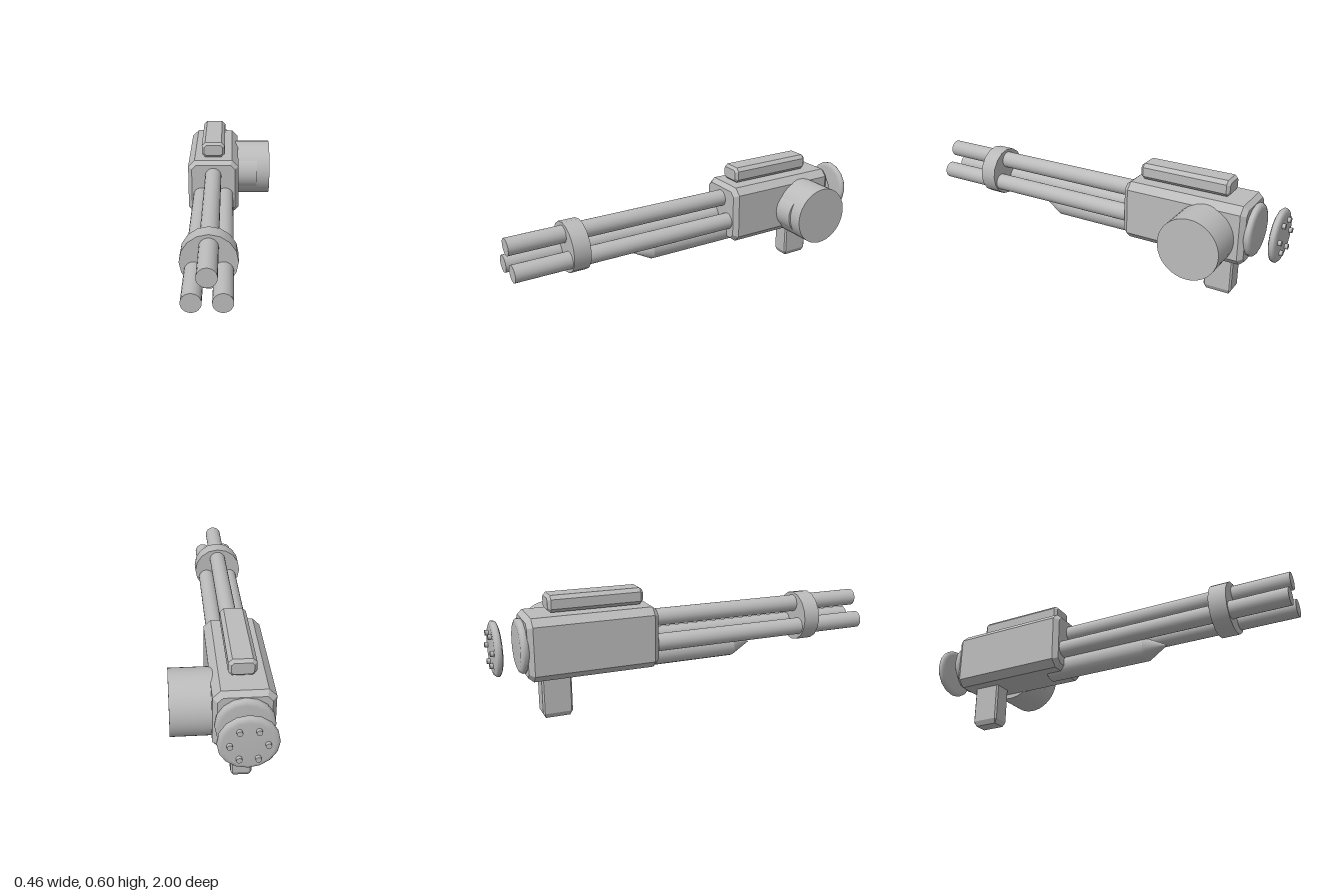
import * as THREE from 'three';

const AXIS_X = -0.0925, AXIS_Y = 0.365;

export function createModel() {
  const model = new THREE.Group();
  model.name = 'rotaryGun';
  const metal = new THREE.MeshStandardMaterial({ color: 0xbbbbbb });
  metal.name = 'plain grey metal';

  const add = (name, geometry, x, y, z) => {
    const mesh = new THREE.Mesh(geometry, metal);
    mesh.name = name;
    mesh.position.set(x, y, z);
    model.add(mesh);
    return mesh;
  };

  // Cylinder lying along z
  const rod = (r, length, sides) =>
    new THREE.CylinderGeometry(r, r, length, sides).rotateX(Math.PI / 2);

  // Box with chamfered long edges (c) and ends inset by b over a length t, centred
  const chamferBox = (w, h, d, c, b, t) => {
    const x = w / 2, y = h / 2;
    const shape = new THREE.Shape([
      [x - c, -y], [x, -y + c], [x, y - c], [x - c, y],
      [-x + c, y], [-x, y - c], [-x, -y + c], [-x + c, -y],
    ].map(([px, py]) => new THREE.Vector2(px, py)));
    const geo = new THREE.ExtrudeGeometry(shape, {
      depth: d - 2 * t, bevelEnabled: true, bevelSegments: 1,
      bevelSize: b, bevelOffset: -b, bevelThickness: t,
    });
    return geo.translate(0, 0, -d / 2 + t);
  };

  // Receiver, top block and grip
  add('body', chamferBox(0.274, 0.304, 0.64, 0.035, 0.02, 0.025), -0.092, 0.364, -0.517);
  add('topBlock', chamferBox(0.125, 0.082, 0.47, 0.018, 0.013, 0.015), -0.0925, 0.562, -0.487);
  add('grip', chamferBox(0.097, 0.146, 0.26, 0.008, 0.013, 0.024).rotateX(Math.PI / 2),
    -0.0915, 0.13, -0.692);

  // Three barrels held by a clamp ring
  for (let i = 0; i < 3; i++) {
    const a = Math.PI / 2 + (i * Math.PI * 2) / 3;
    add('barrel', rod(0.044, 1.24, 24),
      AXIS_X + 0.075 * Math.cos(a), 0.36 + 0.075 * Math.sin(a), 0.38);
  }
  add('barrelClamp', rod(0.13, 0.088, 16), AXIS_X, AXIS_Y, 0.672);

  // Pointed rod beneath the barrels
  add('lowerRod', rod(0.06, 0.555, 20), AXIS_X, 0.249, -0.0275);
  add('lowerRodTip', new THREE.ConeGeometry(0.06, 0.112, 20).rotateX(Math.PI / 2),
    AXIS_X, 0.249, 0.306);

  // Side drum with a raised feed bulge on its front
  add('drum', new THREE.CylinderGeometry(0.154, 0.154, 0.223, 40).rotateZ(Math.PI / 2),
    0.1165, 0.341, -0.637);
  add('drumFeed', new THREE.CylinderGeometry(0.11, 0.11, 0.15, 32).rotateZ(Math.PI / 2),
    0.08, 0.341, -0.582);

  // Rounded rear flange and the separate end disc
  const disc = (r, d) => new THREE.LatheGeometry([
    [0, -d / 2], [r - 0.022, -d / 2], [r - 0.006, -d / 2 + 0.006], [r, -d / 6],
    [r, d / 6], [r - 0.006, d / 2 - 0.006], [r - 0.022, d / 2], [0, d / 2],
  ].map(([px, py]) => new THREE.Vector2(px, py)), 16).rotateX(Math.PI / 2);
  add('rearFlange', disc(0.132, 0.042), AXIS_X, AXIS_Y, -0.847);
  add('endDisc', disc(0.132, 0.038), AXIS_X, AXIS_Y, -0.965);

  // Six studs on the end disc
  for (let i = 0; i < 6; i++) {
    const a = (i * Math.PI) / 3;
    add('stud', rod(0.013, 0.024, 12),
      AXIS_X + 0.08 * Math.cos(a), AXIS_Y + 0.08 * Math.sin(a), -0.988);
  }
  return model;
}
